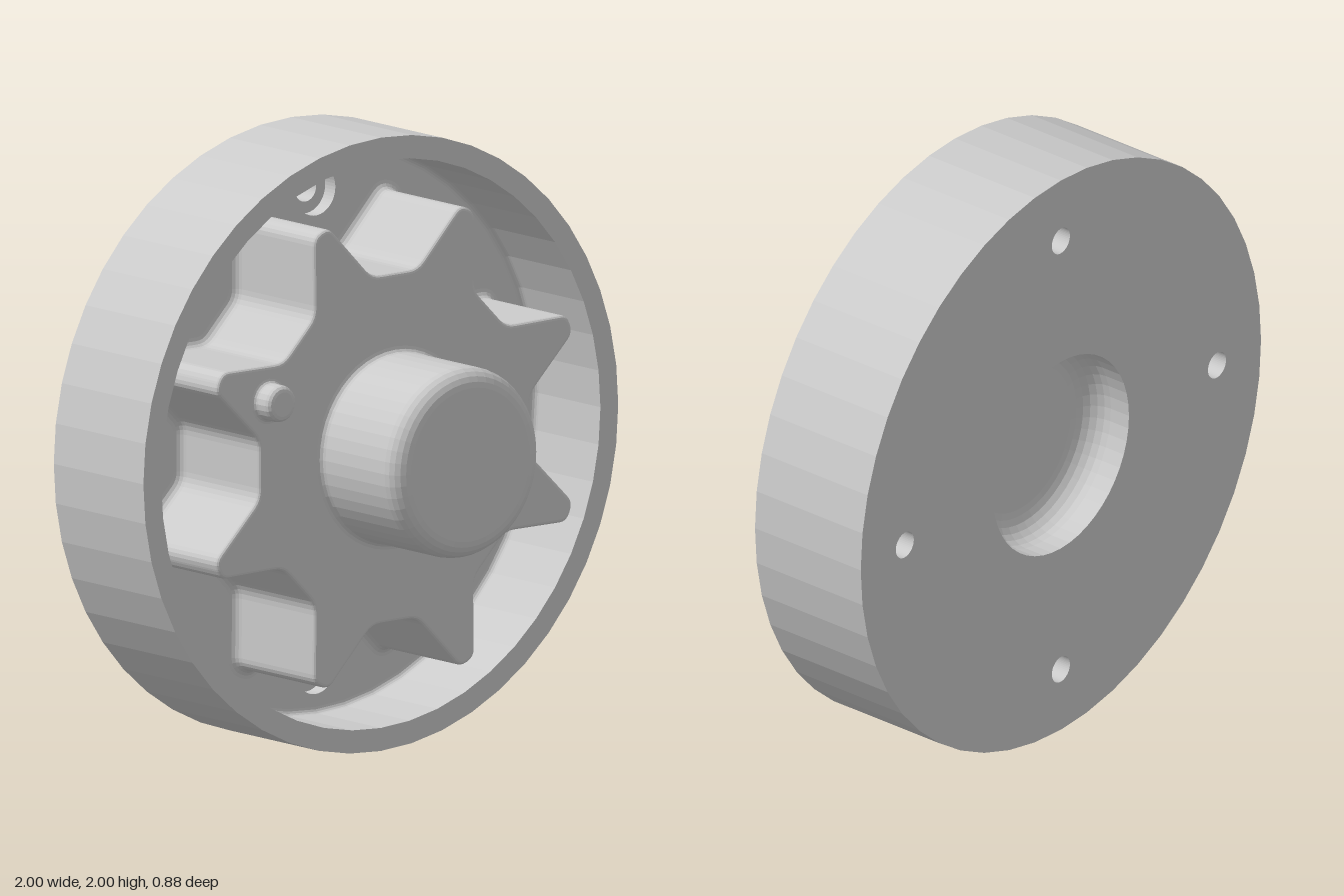
import * as THREE from 'three';

const material = new THREE.MeshStandardMaterial({ color: 0xcccccc, flatShading: true });
const FLOOR = -0.32, BACK = -0.44, GEAR_TOP = 0.07, BORE_Z = -0.37;

const p = (x, y) => new THREE.Vector2(x, y);

// points on an arc, angles in degrees
function arc(cx, cy, r, a0, a1, n = 5) {
  return Array.from({ length: n + 1 }, (_, i) => {
    const a = THREE.MathUtils.degToRad(a0 + ((a1 - a0) * i) / n);
    return p(cx + r * Math.cos(a), cy + r * Math.sin(a));
  });
}

function mesh(name, geometry) {
  const m = new THREE.Mesh(geometry, material);
  m.name = name;
  return m;
}

// profile (radius, z) turned about the z axis
const turned = (name, points, segments = 48) =>
  mesh(name, new THREE.LatheGeometry(points, segments).rotateX(Math.PI / 2));

// round plate with a centre opening and four bolt holes
function plate(name, holeRadius, z0, z1) {
  const shape = new THREE.Shape().absarc(0, 0, 0.93, 0, Math.PI * 2);
  const hole = (x, y, r) => shape.holes.push(new THREE.Path().absarc(x, y, r, 0, Math.PI * 2, true));
  hole(0, 0, 0.34);
  for (let i = 0; i < 4; i++) {
    const a = (i * Math.PI) / 2;
    hole(0.78 * Math.cos(a), 0.78 * Math.sin(a), holeRadius);
  }
  const g = new THREE.ExtrudeGeometry(shape, { depth: z1 - z0, bevelEnabled: false, curveSegments: 24 });
  return mesh(name, g.translate(0, 0, z0));
}

// eight-tooth outline with rounded corners
function gearOutline() {
  const corners = [];
  const add = (deg, r, round) => {
    const a = THREE.MathUtils.degToRad(deg);
    corners.push({ v: p(r * Math.cos(a), r * Math.sin(a)), round });
  };
  for (let i = 0; i < 8; i++) {
    add(i * 45 - 9.5, 0.577, 0.035);
    add(i * 45 + 9.5, 0.577, 0.035);
    add(i * 45 + 20.1, 0.803, 0.03);
    add(i * 45 + 24.9, 0.803, 0.03);
  }
  const out = [], n = corners.length;
  corners.forEach(({ v, round }, i) => {
    const toward = (w) => v.clone().add(w.clone().sub(v).setLength(round));
    const a = toward(corners[(i + n - 1) % n].v), b = toward(corners[(i + 1) % n].v);
    out.push(...new THREE.QuadraticBezierCurve(a, v, b).getPoints(4));
  });
  return out;
}

// sweep the outline through (offset, z) levels, then cap the front
function gear() {
  const outline = gearOutline(), n = outline.length;
  const normals = outline.map((_, i) => {
    const t = outline[(i + 1) % n].clone().sub(outline[(i + n - 1) % n]).normalize();
    return p(t.y, -t.x);
  });
  const ring = (d) => outline.map((v, i) => v.clone().addScaledVector(normals[i], d));
  const levels = [
    ...arc(0.03, FLOOR + 0.03, 0.03, 270, 180, 4),
    ...arc(-0.012, GEAR_TOP - 0.012, 0.012, 0, 90, 3),
  ];
  const pos = [], index = [];
  levels.forEach((l) => ring(l.x).forEach((v) => pos.push(v.x, v.y, l.y)));
  for (let j = 0; j < levels.length - 1; j++)
    for (let i = 0; i < n; i++) {
      const a = j * n + i, b = j * n + ((i + 1) % n);
      index.push(a, b, b + n, a, b + n, a + n);
    }
  const side = new THREE.BufferGeometry();
  side.setAttribute('position', new THREE.Float32BufferAttribute(pos, 3));
  side.setIndex(index);
  side.computeVertexNormals();
  const cap = new THREE.ShapeGeometry(new THREE.Shape(ring(-0.012))).translate(0, 0, GEAR_TOP);
  const g = new THREE.Group();
  g.name = 'gear';
  g.add(mesh('gearTeeth', side), mesh('gearFace', cap));
  return g;
}

export function createModel() {
  const model = new THREE.Group();
  model.name = 'gearHousing';
  const body = new THREE.Group();
  body.name = 'body';
  body.position.y = 1;
  model.add(body);

  // outer wall with a small fillet down to the floor
  body.add(turned('rim', [
    p(0.93, BACK), p(1, BACK), p(1, 0), p(0.925, 0),
    ...arc(0.905, FLOOR + 0.02, 0.02, 0, -90, 4),
  ]));

  // floor, with wider counterbores on the front side
  body.add(plate('backPlate', 0.045, BACK, BORE_Z));
  body.add(plate('floorPlate', 0.083, BORE_Z, FLOOR));

  // rounded recess in the back
  body.add(turned('backRecess', [
    p(0, -0.275), ...arc(0.25, -0.365, 0.09, 90, 0, 6), p(0.34, BACK),
  ]));

  body.add(gear());

  // central hub
  body.add(turned('hub', [
    ...arc(0.33, GEAR_TOP + 0.02, 0.02, 270, 180, 3),
    ...arc(0.25, 0.38, 0.06, 0, 90, 5), p(0, 0.44),
  ]));

  // small locating pin on one tooth
  const pin = turned('pin', [
    ...arc(0.074, GEAR_TOP + 0.014, 0.014, 270, 180, 3),
    ...arc(0.04, 0.12, 0.02, 0, 90, 3), p(0, 0.14),
  ], 20);
  pin.position.set(-0.53, 0.22, 0);
  body.add(pin);

  return model;
}
